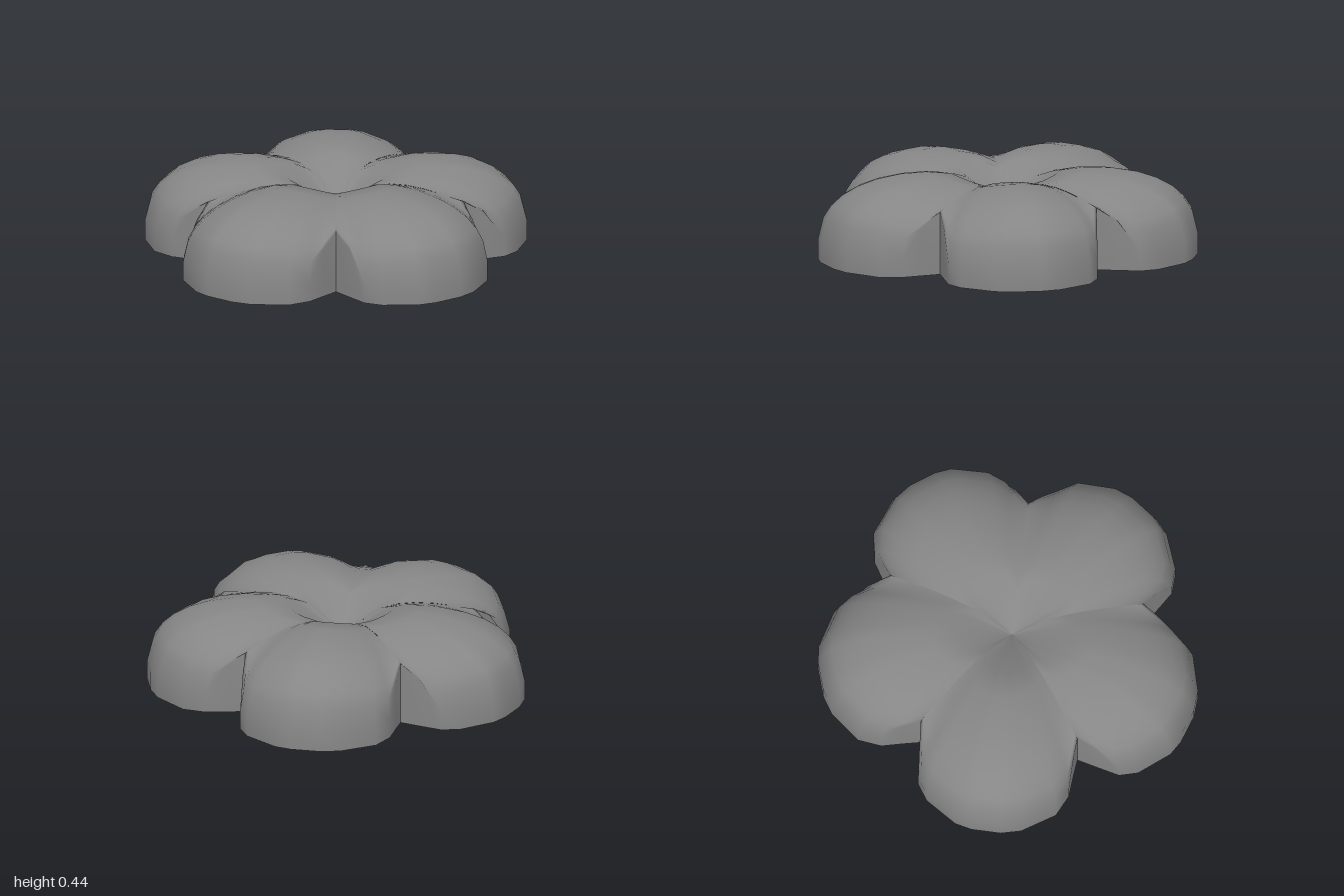
import * as THREE from 'three';

const PETALS = 5;
const HUB = { x: -0.005, z: 0.04 };             // where all seams meet
const TOP = 0.44;

// petal outline from seam to seam: [across, along, edge], measured from the hub;
// a lower edge value leaves a taller upright wall, as at the seams
const OUTLINE = [
  [-0.385, 0.585, 0.77], [-0.37, 0.68, 0.9], [-0.355, 0.79, 0.995], [-0.295, 0.9, 0.995],
  [-0.12, 1.0, 0.995], [-0.015, 1.02, 0.995], [0.14, 1.01, 0.995], [0.225, 0.985, 0.995],
  [0.385, 0.867, 0.995], [0.435, 0.78, 0.995], [0.437, 0.66, 0.9], [0.438, 0.546, 0.77],
];
// rings from the hub to the rim
const RINGS = [0, 0.28, 0.42, 0.56, 0.69, 0.79, 0.87, 0.93, 0.97, 1];

// 0 in the middle of a petal, about 1 near its outline
function nearness(across, along) {
  const a = Math.abs(along - 0.49) / 0.525;
  const b = Math.abs(across - 0.02) / 0.42;
  return Math.pow(a ** 2.3 + b ** 2.3, 1 / 2.3);
}

// pillow-like height at fraction u of the way to an outline point
function height([across, along, edge], u) {
  const fit = 1 + (edge / nearness(across, along) - 1) * u * u;
  const n = Math.min(0.995, nearness(across * u, along * u) * fit);
  return TOP * Math.pow(1 - n * n, 0.31);
}

function build(pos, index) {
  const geo = new THREE.BufferGeometry();
  geo.setAttribute('position', new THREE.Float32BufferAttribute(pos, 3));
  geo.setIndex(index);
  geo.computeVertexNormals();
  return geo;
}

// domed top with its upright wall down to the ground
function domeGeometry() {
  const pos = [], index = [], n = RINGS.length + 1;
  OUTLINE.forEach((point, j) => {
    const [across, along] = point;
    for (const u of RINGS) pos.push(across * u, height(point, u), -along * u);
    pos.push(across, 0, -along);
    if (j === OUTLINE.length - 1) return;
    for (let i = 0; i < n - 1; i++) {
      const a = j * n + i, b = a + 1, c = a + n, d = c + 1;
      if (i > 0) index.push(a, c, b);
      index.push(c, d, b);
    }
  });
  return build(pos, index);
}

// flat underside, a fan around the hub
function undersideGeometry() {
  const pos = [0, 0, 0], index = [];
  OUTLINE.forEach(([across, along], j) => {
    pos.push(across, 0, -along);
    if (j > 0) index.push(0, j, j + 1);
  });
  return build(pos, index);
}

export function createModel() {
  const group = new THREE.Group();
  group.name = 'flower';
  const material = new THREE.MeshStandardMaterial({ color: 0x868686 });
  const dome = domeGeometry(), under = undersideGeometry();

  for (let k = 0; k < PETALS; k++) {
    const petal = new THREE.Group();
    petal.name = 'petal' + (k + 1);
    const top = new THREE.Mesh(dome, material);
    top.name = 'petalDome';
    const base = new THREE.Mesh(under, material);
    base.name = 'petalUnderside';
    petal.add(top, base);
    petal.position.set(HUB.x, 0, HUB.z);
    petal.rotation.y = -2 * Math.PI * k / PETALS;
    group.add(petal);
  }
  return group;
}
